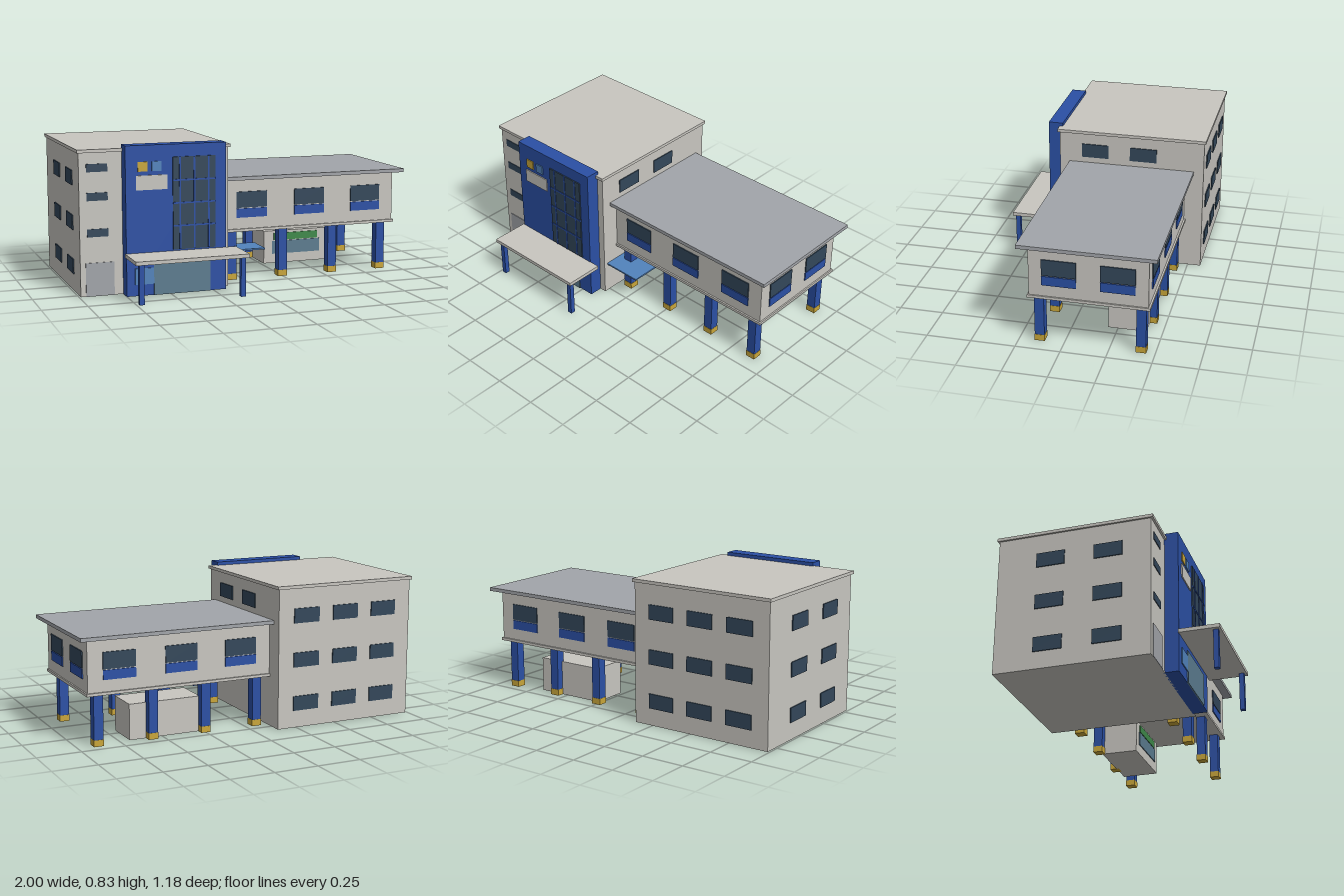
import * as THREE from 'three';

const mat = (name, color) => {
  const m = new THREE.MeshStandardMaterial({ color });
  m.name = name;
  return m;
};

export function createModel() {
  const wall = mat('wall', 0xc8c6c0);
  const blue = mat('deepBlue', 0x2b50a5);
  const glass = mat('darkGlass', 0x33475a);
  const slate = mat('paleGlass', 0x5c7c90);
  const sky = mat('lightBlue', 0x5283bc);
  const yellow = mat('yellow', 0xc9a63a);
  const green = mat('green', 0x3f8a4a);
  const grey = mat('roofGrey', 0xa2a5aa);

  const model = new THREE.Group();
  model.name = 'building';
  const group = (name) => {
    const g = new THREE.Group();
    g.name = name;
    model.add(g);
    return g;
  };

  // Box given by its limits on each axis
  const box = (parent, name, material, [x0, x1], [y0, y1], [z0, z1]) => {
    const mesh = new THREE.Mesh(new THREE.BoxGeometry(x1 - x0, y1 - y0, z1 - z0), material);
    mesh.position.set((x0 + x1) / 2, (y0 + y1) / 2, (z0 + z1) / 2);
    mesh.name = name;
    parent.add(mesh);
    return mesh;
  };
  const span = (c, w) => [c - w / 2, c + w / 2];
  // Thin plate standing proud of a wall; dir is the outward sign
  const proud = (at, dir, t = 0.006) => (dir > 0 ? [at - 0.002, at + t] : [at - t, at + 0.002]);

  // Main block
  const main = group('mainBlock');
  box(main, 'mainWalls', wall, [-0.99, -0.135], [0, 0.795], [-0.577, 0.288]);
  box(main, 'mainRoof', wall, [-1, -0.123], [0.795, 0.813], [-0.587, 0.3]);
  for (const y of [0.353, 0.553, 0.711])
    box(main, 'frontWindow', glass, span(-0.89, 0.118), span(y, 0.044), proud(0.288, 1, 0.004));
  box(main, 'sideDoor', grey, [-0.96, -0.8], [0, 0.187], proud(0.288, 1, 0.004));
  for (const y of [0.14, 0.39, 0.641]) {
    for (const x of [-0.81, -0.56, -0.31])
      box(main, 'backWindow', glass, span(x, 0.16), span(y, 0.083), proud(-0.577, -1));
    for (const z of [-0.275, 0.05])
      box(main, 'leftWindow', glass, proud(-0.99, -1), span(y, 0.083), span(z, 0.16));
  }
  for (const z of [0.072, -0.217])
    box(main, 'rightWindow', glass, proud(-0.135, 1), span(0.689, 0.082), span(z, 0.16));

  // Entrance tower with its window grid and panels
  const tower = group('entranceTower');
  box(tower, 'towerBody', blue, [-0.75, -0.175], [0, 0.833], [0.28, 0.366]);
  box(tower, 'towerGlazing', glass, [-0.484, -0.238], [0.248, 0.763], proud(0.366, 1, 0.007));
  for (const i of [-1, 0, 1]) {
    box(tower, 'mullion', blue, span(-0.361 + i * 0.083, 0.009), [0.248, 0.763], [0.37, 0.376]);
    box(tower, 'transom', blue, [-0.484, -0.238], span(0.508 + i * 0.127, 0.009), [0.37, 0.376]);
  }
  box(tower, 'yellowPanel', yellow, [-0.682, -0.628], [0.69, 0.743], proud(0.366, 1));
  box(tower, 'lightBluePanel', sky, [-0.602, -0.548], [0.69, 0.743], proud(0.366, 1));
  box(tower, 'palePanel', wall, [-0.692, -0.516], [0.588, 0.668], proud(0.366, 1));
  box(tower, 'noticePanel', sky, [-0.703, -0.596], [0.064, 0.155], proud(0.366, 1));
  box(tower, 'entranceGlass', slate, [-0.596, -0.27], [0, 0.187], proud(0.366, 1));

  // Entrance canopy
  const canopy = group('entranceCanopy');
  box(canopy, 'canopySlab', wall, [-0.757, -0.115], [0.219, 0.24], [0.363, 0.589]);
  for (const x of [-0.722, -0.146])
    box(canopy, 'canopyPost', blue, span(x, 0.028), [0, 0.219], span(0.561, 0.028));
  box(group('sideCanopy'), 'sideCanopySlab', sky, [-0.135, 0.099], [0.189, 0.198], [0.09, 0.266]);

  // Raised wing
  const wing = group('raisedWing');
  box(wing, 'wingWalls', wall, [-0.135, 0.949], [0.29, 0.592], [-0.468, 0.18]);
  box(wing, 'wingFloor', wall, [-0.135, 0.957], [0.286, 0.302], [-0.478, 0.189]);
  box(wing, 'wingRoof', grey, [-0.135, 1], [0.592, 0.613], [-0.519, 0.231]);
  const paneY = [0.426, 0.519], apronY = [0.368, 0.421];
  for (const x of [0.048, 0.408, 0.768])
    for (const [z, dir] of [[0.18, 1], [-0.468, -1]]) {
      box(wing, 'wingWindow', glass, span(x, 0.188), paneY, proud(z, dir));
      box(wing, 'windowApron', blue, span(x, 0.188), apronY, proud(z, dir));
    }
  for (const z of [0.014, -0.304]) {
    box(wing, 'endWindow', glass, proud(0.949, 1), paneY, span(z, 0.188));
    box(wing, 'endApron', blue, proud(0.949, 1), apronY, span(z, 0.188));
  }

  // Columns with yellow feet
  const columns = group('columns');
  for (const x of [-0.066, 0.251, 0.567, 0.884])
    for (const z of [0.136, -0.423]) {
      box(columns, 'column', blue, span(x, 0.054), [0.036, 0.288], span(z, 0.054));
      box(columns, 'columnFoot', yellow, span(x, 0.057), [0, 0.036], span(z, 0.057));
    }

  // Kiosk beneath the wing
  const kiosk = group('kiosk');
  box(kiosk, 'kioskWalls', wall, [0.27, 0.692], [0, 0.202], [-0.41, -0.195]);
  box(kiosk, 'kioskSign', green, [0.334, 0.623], [0.143, 0.187], proud(-0.195, 1));
  box(kiosk, 'kioskWindow', slate, [0.323, 0.639], [0.058, 0.138], proud(-0.195, 1));

  return model;
}
